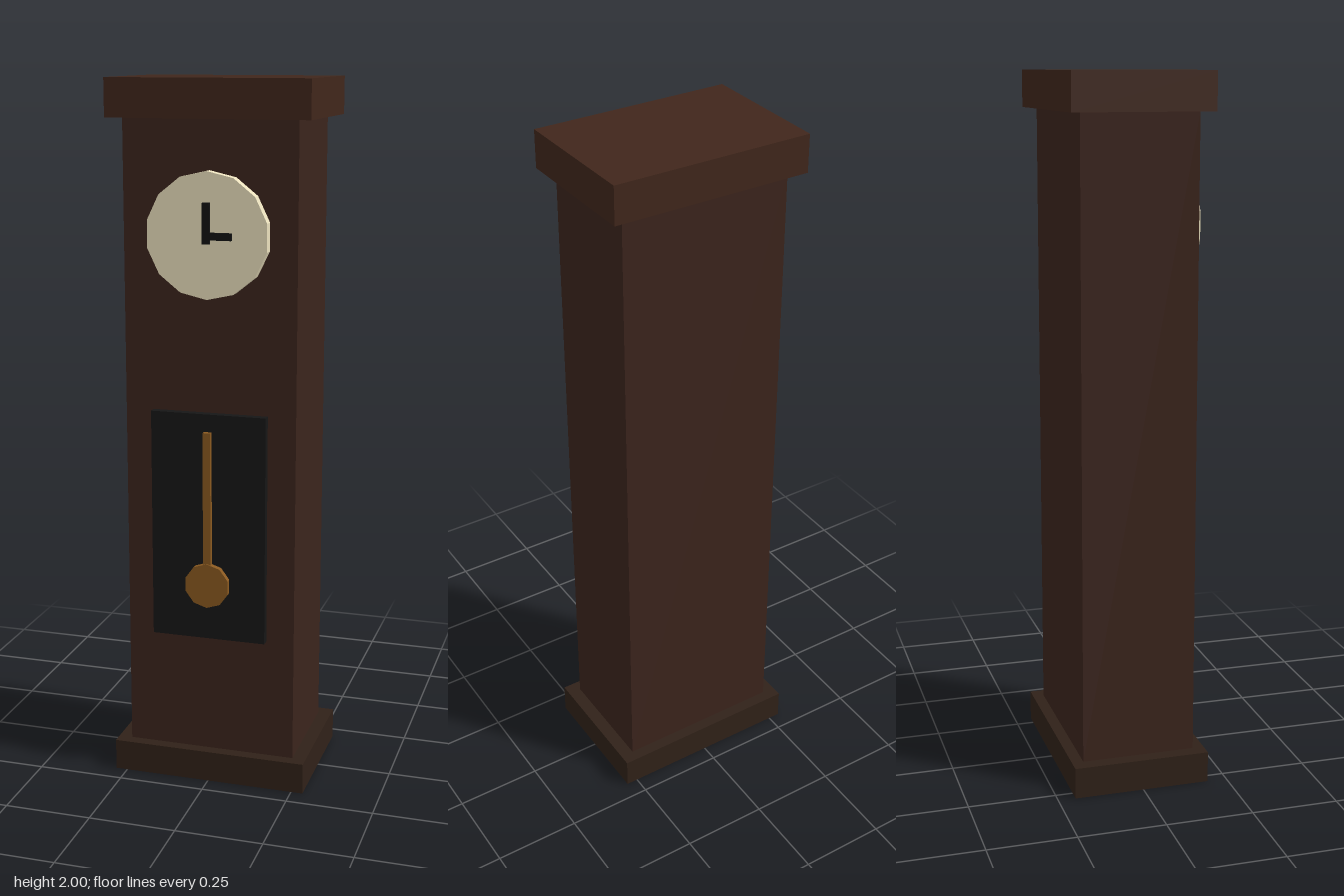
import * as THREE from 'three';

export function createModel() {
  const clock = new THREE.Group();
  clock.name = 'longcaseClock';

  const material = (color) => new THREE.MeshStandardMaterial({ color, flatShading: true });
  const bodyWood = material(0x3b241c);
  const capWood = material(0x40261b);
  const baseWood = material(0x302118);
  const ivory = material(0xeae0bd);
  const brass = material(0x8b5a20);
  const glass = material(0x161616);
  const black = material(0x121212);

  // Box given by its extents along each axis
  const box = (name, mat, [x0, x1], [y0, y1], [z0, z1]) => {
    const mesh = new THREE.Mesh(new THREE.BoxGeometry(x1 - x0, y1 - y0, z1 - z0), mat);
    mesh.position.set((x0 + x1) / 2, (y0 + y1) / 2, (z0 + z1) / 2);
    mesh.name = name;
    clock.add(mesh);
  };

  // Faceted disc facing the front
  const disc = (name, mat, radius, sides, y, [z0, z1]) => {
    const geometry = new THREE.CylinderGeometry(radius, radius, z1 - z0, sides).rotateX(Math.PI / 2);
    const mesh = new THREE.Mesh(geometry, mat);
    mesh.position.set(0, y, (z0 + z1) / 2);
    mesh.name = name;
    clock.add(mesh);
  };

  // Case
  box('base', baseWood, [-0.284, 0.284], [0, 0.09], [-0.2, 0.193]);
  box('body', bodyWood, [-0.245, 0.245], [0.09, 1.895], [-0.167, 0.16]);
  box('topCap', capWood, [-0.284, 0.284], [1.895, 2], [-0.2, 0.193]);

  // Dial and hands
  disc('dial', ivory, 0.172, 14, 1.588, [0.15, 0.19]);
  box('minuteHand', black, [-0.01, 0.01], [1.567, 1.677], [0.185, 0.2]);
  box('hourHand', black, [-0.01, 0.071], [1.578, 1.598], [0.185, 0.199]);

  // Pendulum window, rod and bob
  box('pendulumWindow', glass, [-0.165, 0.165], [0.44, 1.097], [0.15, 0.183]);
  box('pendulumRod', brass, [-0.011, 0.011], [0.62, 1.047], [0.175, 0.197]);
  disc('pendulumBob', brass, 0.065, 10, 0.603, [0.175, 0.2]);

  return clock;
}
